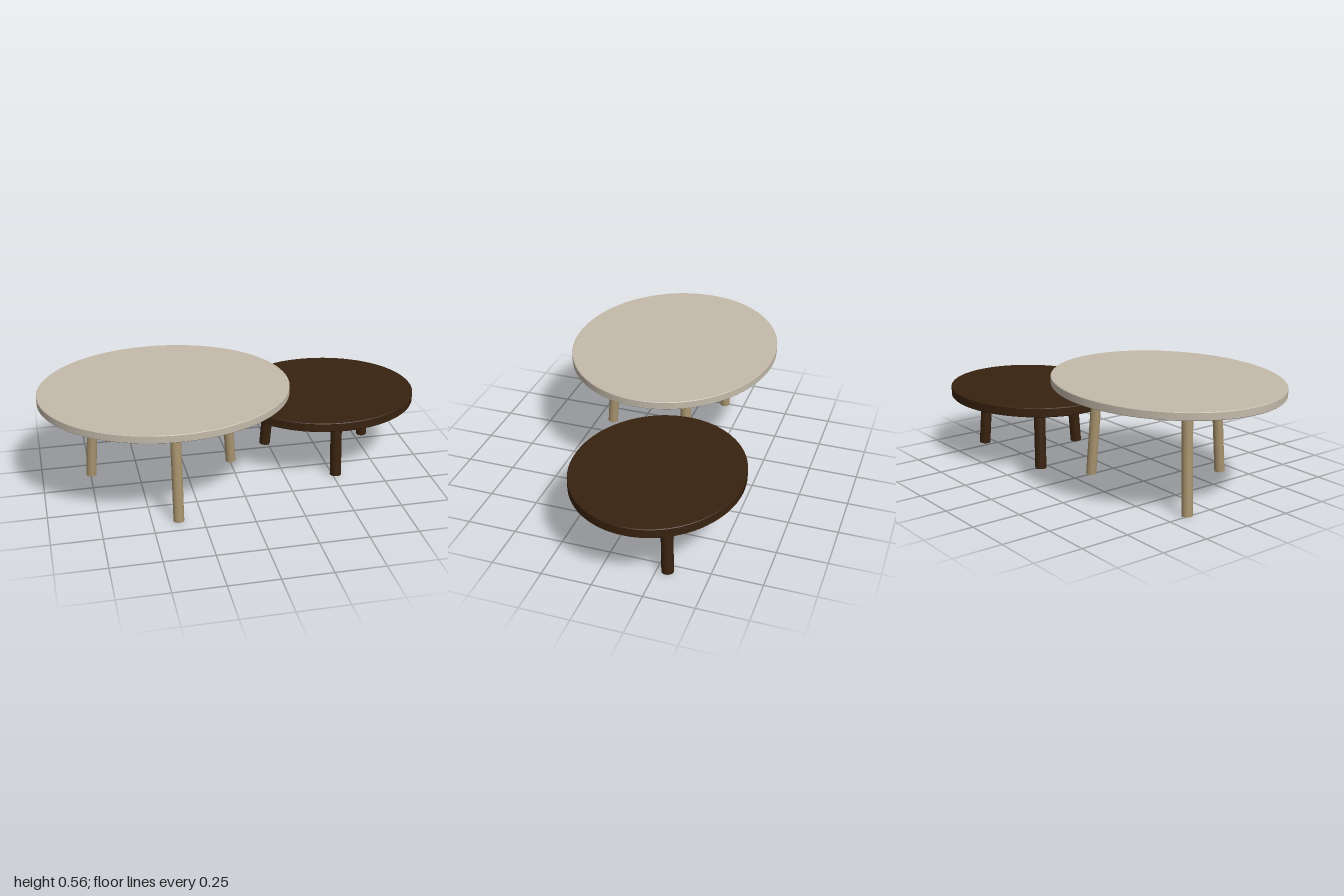
import * as THREE from 'three';

const stone = new THREE.MeshStandardMaterial({ name: 'pale stone', color: 0xc4baab });
const oak = new THREE.MeshStandardMaterial({ name: 'light oak', color: 0xa8946e });
const walnut = new THREE.MeshStandardMaterial({ name: 'dark walnut', color: 0x38220f });

// Oval slab with a tiny chamfer; separate lathes keep the edges sharp
function makeTop(rx, rz, y0, y1, material) {
  const top = new THREE.Group();
  top.name = 'tableTop';
  const h = y1 - y0, c = 0.003;
  const rings = [[0, 0], [rx - c, 0], [rx, c], [rx, h - c], [rx - c, h], [0, h]];
  const names = ['underside', 'lowerChamfer', 'rim', 'upperChamfer', 'surface'];
  names.forEach((name, i) => {
    const profile = [rings[i], rings[i + 1]].map(([r, y]) => new THREE.Vector2(r, y));
    const mesh = new THREE.Mesh(new THREE.LatheGeometry(profile, 96), material);
    mesh.name = name;
    top.add(mesh);
  });
  top.position.y = y0;
  top.scale.z = rz / rx;
  return top;
}

// Round leg running from its foot up to the slab
function makeLeg(foot, head, radius, material) {
  const axis = head.clone().sub(foot);
  const leg = new THREE.Mesh(new THREE.CylinderGeometry(radius, radius, axis.length(), 32), material);
  leg.name = 'leg';
  leg.position.copy(foot).add(head).multiplyScalar(0.5);
  leg.quaternion.setFromUnitVectors(new THREE.Vector3(0, 1, 0), axis.normalize());
  return leg;
}

// Oval table on three splayed legs, one at the front and two behind
function makeTable(o) {
  const table = new THREE.Group();
  table.name = o.name;
  table.position.set(o.x, 0, o.z);
  table.add(makeTop(o.rx, o.rz, o.y0, o.y1, o.topMaterial));
  for (let i = 0; i < 3; i++) {
    const a = (i * Math.PI * 2) / 3;
    const at = ([rx, rz], y) => new THREE.Vector3(Math.sin(a) * rx, y, Math.cos(a) * rz);
    table.add(makeLeg(at(o.foot, 0.003), at(o.head, o.y0 + 0.005), o.legRadius, o.legMaterial));
  }
  return table;
}

export function createModel() {
  const model = new THREE.Group();
  model.name = 'nestingTables';
  model.add(
    makeTable({
      name: 'tallTable', x: -0.37, z: 0.043, rx: 0.63, rz: 0.535, y0: 0.52, y1: 0.56,
      foot: [0.434, 0.37], head: [0.394, 0.33], legRadius: 0.0265,
      topMaterial: stone, legMaterial: oak,
    }),
    makeTable({
      name: 'lowTable', x: 0.516, z: -0.16, rx: 0.483, rz: 0.42, y0: 0.323, y1: 0.371,
      foot: [0.326, 0.286], head: [0.299, 0.259], legRadius: 0.0295,
      topMaterial: walnut, legMaterial: walnut,
    }),
  );
  return model;
}
